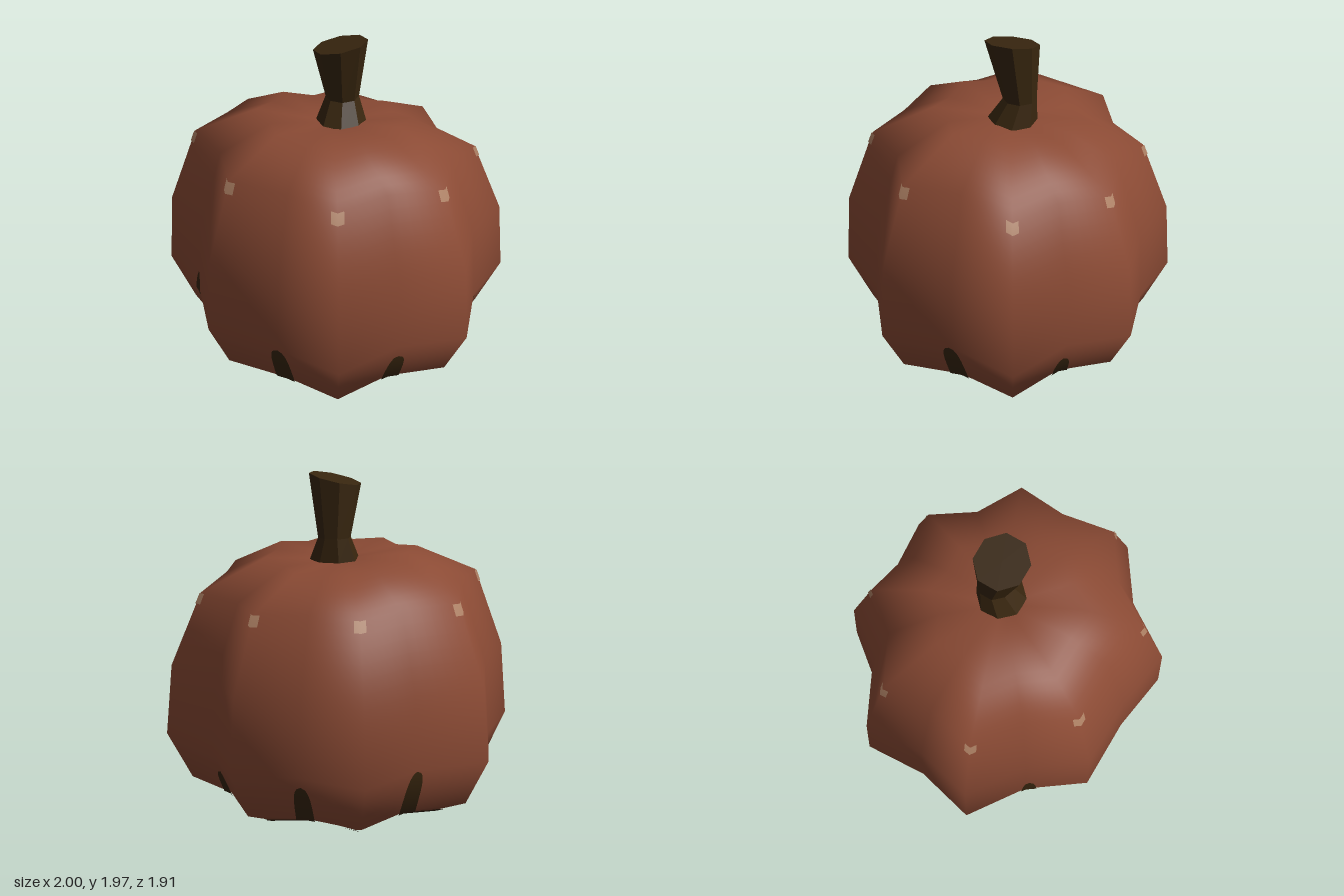
import * as THREE from 'three';

// Outline at the widest height, going round from the front: valley, ridge, valley, ridge...
const OUTLINE = [
  [0.03, 0.89], [0.43, 0.95], [0.66, 0.61], [1, 0.38], [0.93, -0.03], [1, -0.44], [0.64, -0.63], [0.42, -0.94],
  [0.04, -0.89], [-0.34, -0.96], [-0.57, -0.65], [-0.95, -0.44], [-0.92, -0.04], [-1, 0.34], [-0.66, 0.57], [-0.42, 0.89],
];
// Rings from the underside to the crown: outline scale, ridge height, valley rise, backward slump
const RINGS = [
  [0, 0.01, 0, 0], [0.68, 0.006, 0.016, 0], [0.87, 0.11, 0, 0], [1, 0.43, 0, 0.02], [0.955, 0.89, 0, 0.045],
  [0.78, 1.36, 0, 0.08], [0.43, 1.52, -0.015, 0.08], [0.1, 1.47, 0, 0.08], [0, 1.46, 0, 0],
];
const N = OUTLINE.length;
const M = RINGS.length - 1;

// Geometry from a function (i, j) -> { p, n }, on a grid of nu by nv cells
function grid(nu, nv, sample, closed = false) {
  const pos = [], nor = [], idx = [];
  const w = closed ? nu : nu + 1;
  for (let j = 0; j <= nv; j++) for (let i = 0; i < w; i++) {
    const { p, n } = sample(i, j);
    pos.push(p.x, p.y, p.z);
    if (n) nor.push(n.x, n.y, n.z);
  }
  for (let j = 0; j < nv; j++) for (let i = 0; i < nu; i++) {
    const a = j * w + i, b = j * w + (i + 1) % w;
    idx.push(a, b, a + w, b, b + w, a + w);
  }
  const g = new THREE.BufferGeometry();
  g.setAttribute('position', new THREE.Float32BufferAttribute(pos, 3));
  g.setIndex(idx);
  if (nor.length) g.setAttribute('normal', new THREE.Float32BufferAttribute(nor, 3));
  else g.computeVertexNormals();
  return g;
}

// Control cage of the fruit, with smooth normals
const cage = grid(N, M, (i, j) => {
  const [s, y, rise, slump] = RINGS[j];
  const x = OUTLINE[i][0] * s, z = OUTLINE[i][1] * s;
  const drop = slump * THREE.MathUtils.clamp(-z / 0.42, 0, 1) + (j > 4 ? 0.014 * x : 0);
  return { p: new THREE.Vector3(x, y + (i % 2 ? 0 : rise) - drop, z) };
}, true);

// Point on the skin: u counts ribs round the fruit, v counts rings upward
function skin(u, v, lift = 0) {
  const j = Math.min(Math.floor(v), M - 1), fv = v - j;
  const i = Math.floor(u), fu = u - i;
  const at = (name, di, dj) =>
    new THREE.Vector3().fromBufferAttribute(cage.attributes[name], (j + dj) * N + (((i + di) % N) + N) % N);
  const mix = (name) => at(name, 0, 0).lerp(at(name, 1, 0), fu)
    .lerp(at(name, 0, 1).lerp(at(name, 1, 1), fu), fv);
  const n = mix('normal').normalize();
  return { p: mix('position').addScaledVector(n, lift), n };
}

// Skin patch whose (u, v) comes from a rule on s, t in 0..1
const patch = (nu, nv, lift, rule) => grid(nu, nv, (i, j) => skin(...rule(i / nu, j / nv), lift));

export function createModel() {
  const model = new THREE.Group();
  const mat = (name, color) => new THREE.MeshStandardMaterial({ name, color });
  const orange = mat('burnt orange', 0x8a4a34);
  const brown = mat('dark brown', 0x38260f);
  const tan = mat('pale tan', 0xa97d61);
  const add = (name, geometry, material) => {
    const mesh = new THREE.Mesh(geometry, material);
    mesh.name = name;
    model.add(mesh);
    return mesh;
  };

  add('pumpkinBody', patch(N * 6, M * 6, 0, (s, t) => [s * N, t * M]), orange);

  // Dark underside with a wavy upper edge
  add('undersideStain', patch(192, 32, 0.006, (s, t) => {
    const u = s * N;
    const top = 0.55 + 0.17 * Math.cos(u * Math.PI) + 0.08 * Math.sin(u * 4.5 * Math.PI);
    return [u, t < 0.5 ? 2 * t : 1 + (2 * t - 1) * top];
  }), brown);

  // Drips climbing the eight valleys: top ring value, half width, sideways lean
  const drips = [
    [3, 0.17, 0], [2.72, 0.17, 0.05], [3, 0.17, -0.03], [2.53, 0.17, 0],
    [2.8, 0.17, 0], [3, 0.16, 0], [2.72, 0.17, 0], [3.33, 0.17, 0.06],
  ];
  drips.forEach(([top, half, lean], k) => add('drip' + (k + 1), patch(8, 40, 0.008, (s, t) => {
    const taper = half * (1.15 - 0.4 * t) * Math.sqrt(Math.max(0, 1 - t ** 10));
    return [2 * k + lean * t + (2 * s - 1) * taper, 1.3 + (top - 1.3) * t];
  }), brown));

  // Pale glints on the shoulder of each ridge
  for (let k = 0; k < 8; k++) {
    add('glint' + (k + 1), patch(4, 4, 0.006, (s, t) =>
      [2 * k + 1 + (s - 0.5) * 0.25, 4.85 + 0.14 * t]), tan);
  }

  // Eight-sided stem with a flared foot, a pinched neck and a slanted cut
  const stem = new THREE.CylinderGeometry(1, 1, 1, 8, 2, false, Math.PI / 8);
  const p = stem.attributes.position;
  for (let i = 0; i < p.count; i++) {
    const y = p.getY(i);
    const [cx, cz, r, h, slope] = y > 0.1 ? [0.035, -0.03, 0.155, 1.94, 0.22]
      : y < -0.1 ? [0.04, -0.03, 0.15, 1.46, 0] : [0.03, -0.075, 0.098, 1.6, 0];
    const x = p.getX(i) * r;
    p.setXYZ(i, cx + x, h + slope * x, cz + p.getZ(i) * r);
  }
  const facets = stem.toNonIndexed();
  facets.computeVertexNormals();
  add('stem', facets, brown);

  return model;
}
